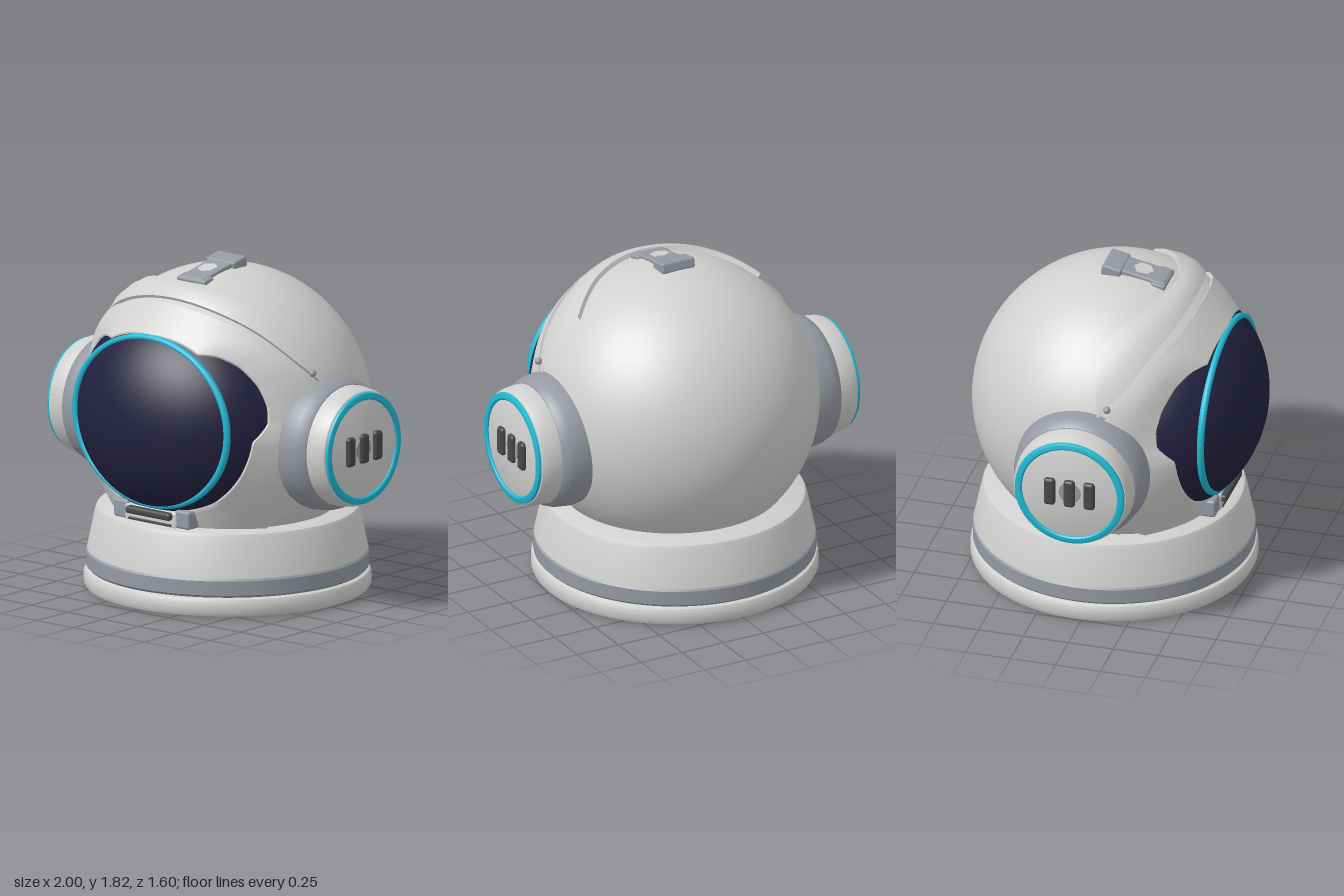
import * as THREE from 'three';
import { toCreasedNormals, mergeVertices } from 'three/addons/utils/BufferGeometryUtils.js';
import { RoundedBoxGeometry } from 'three/addons/geometries/RoundedBoxGeometry.js';

const flat = (name, color, side = THREE.FrontSide) => new THREE.MeshStandardMaterial({ name, color, side });
const white = flat('shell white', 0xd0d0ce, THREE.DoubleSide);
const grey = flat('trim grey', 0x9699a3);
const navy = flat('visor navy', 0x22213f);
const cyan = flat('ring cyan', 0x20b8d4);
const dark = flat('vent dark', 0x48484a);

const TAU = Math.PI * 2;
const V = (x, y, z) => new THREE.Vector3(x, y, z);
const CENTRE = V(0, 0.98, 0);

function add(parent, name, geometry, material, x = 0, y = 0, z = 0) {
  const mesh = new THREE.Mesh(geometry, material);
  mesh.name = name;
  mesh.position.set(x, y, z);
  parent.add(mesh);
  return mesh;
}

// Surface through f(u, v); u runs counter-clockwise seen from the front, v runs backwards
function loft(f, nu, nv, crease = 0.7) {
  const pos = [], index = [];
  for (let j = 0; j <= nv; j++)
    for (let i = 0; i <= nu; i++) pos.push(...f(i / nu, j / nv).toArray());
  for (let j = 0; j < nv; j++)
    for (let i = 0; i < nu; i++) {
      const a = j * (nu + 1) + i, b = a + nu + 1;
      index.push(a, b, a + 1, a + 1, b, b + 1);
    }
  const g = new THREE.BufferGeometry();
  g.setAttribute('position', new THREE.Float32BufferAttribute(pos, 3));
  g.setIndex(index);
  return toCreasedNormals(mergeVertices(g), crease);
}

const lathe = (pts, seg = 96) =>
  toCreasedNormals(new THREE.LatheGeometry(pts.map(p => new THREE.Vector2(...p)), seg), 0.6);

// Piecewise table of depth against elevation angle in degrees, mirrored left to right
function depth(table, theta) {
  const a = THREE.MathUtils.radToDeg(Math.asin(THREE.MathUtils.clamp(Math.sin(theta), -1, 1)));
  let i = 0;
  while (i < table.length - 2 && a > table[i + 1][0]) i++;
  const [a0, z0] = table[i], [a1, z1] = table[i + 1];
  return THREE.MathUtils.lerp(z0, z1, (a - a0) / (a1 - a0));
}
const visorEdge = [[-90, 0.6], [-70, 0.58], [-50, 0.53], [-25, 0.5], [-4, 0.48], [5, 0.39], [14, 0.38],
  [25, 0.4], [38, 0.45], [48, 0.51], [56, 0.575], [90, 0.6]];
const frameEdge = [[-90, 0.58], [-60, 0.45], [-45, 0.3], [-30, 0.2], [0, 0.04], [10, 0.05], [20, 0.13],
  [30, 0.23], [40, 0.31], [60, 0.42], [75, 0.46], [90, 0.47]];
const angle = u => u * TAU - Math.PI / 2;

function visorPoint(theta, phi, s = 1) {
  const r = Math.sin(phi) * s;
  return V(0.65 * r * Math.cos(theta), 1.01 + 0.59 * r * Math.sin(theta), 0.3 + 0.5 * Math.cos(phi));
}
const visorPhi = theta => Math.acos((depth(visorEdge, theta) - 0.3) / 0.5);
function spherePoint(theta, phi, r) {
  return V(Math.sin(phi) * Math.cos(theta), Math.sin(phi) * Math.sin(theta), Math.cos(phi))
    .multiplyScalar(r).add(CENTRE);
}
const framePhi = theta => Math.acos(depth(frameEdge, theta) / 0.81);

function addHead(g) {
  // Round shell, open at the face
  add(g, 'helmetShell', loft((u, v) => {
    const t = angle(u), p = framePhi(t) - 0.04;
    return spherePoint(t, p + v * (Math.PI - p), 0.79);
  }, 128, 48), white);

  // Domed visor
  add(g, 'visor', loft((u, v) => visorPoint(angle(u), v * visorPhi(angle(u))), 192, 32), navy);

  // Face frame between visor and shell, with a raised lip
  const steps = 14;
  add(g, 'faceFrame', loft((u, v) => {
    const t = angle(u), p = visorPhi(t), q = framePhi(t), row = Math.round(v * steps);
    if (row === 0) return visorPoint(t, p, 0.98);
    if (row === steps) return spherePoint(t, q, 0.77);
    const w = (row - 1) / (steps - 2), bulge = 0.03 * Math.sin(Math.PI * w) * Math.cos(t) ** 2;
    return visorPoint(t, p, 1.02).lerp(spherePoint(t, q, 0.81), w)
      .add(V(bulge * Math.cos(t), bulge * Math.sin(t), 0));
  }, 192, steps), white);

  // Elliptical ring around the visor
  const ring = new THREE.TorusGeometry(0.53, 0.02, 12, 128);
  ring.scale(1, 0.865, 1);
  add(g, 'visorRing', ring, cyan, 0, 1.015, 0.6);
}

// Crescent brow flap lying over the shell
function addBrow(g) {
  const arc = half => new THREE.CatmullRomCurve3(
    [...half.slice(1).reverse(), ...half.map((p, i) => (i ? [-p[0], p[1], p[2]] : p))].map(p => V(...p)));
  const front = arc([[0, 1.65, 0.42], [0.25, 1.61, 0.39], [0.47, 1.5, 0.3], [0.65, 1.37, 0.2], [0.77, 1.26, 0.09]]);
  const back = arc([[0, 1.72, 0.31], [0.18, 1.7, 0.27], [0.34, 1.65, 0.19], [0.46, 1.6, 0.1], [0.54, 1.55, 0.03]]);
  const out = (p, r) => p.sub(CENTRE).setLength(r).add(CENTRE);
  const rows = [[0, 0.77], [0, 0.808], [0.35, 0.825], [0.7, 0.825], [1, 0.815], [1, 0.77]];
  add(g, 'browFlap', loft((u, v) => {
    const [w, r] = rows[Math.round(v * 5)];
    return out(front.getPoint(u).lerp(back.getPoint(u), w), r);
  }, 64, 5), white);
  for (const s of [-1, 1])
    add(g, 'browRivet', new THREE.SphereGeometry(0.02, 16, 12), grey, s * 0.74, 1.31, 0.14);
}

// Mount on the crown
function addCrownClip(g) {
  const clip = new THREE.Group();
  clip.name = 'crownClip';
  clip.position.set(0, 1.755, 0.1);
  clip.rotation.x = 0.2;
  add(clip, 'clipPlate', new RoundedBoxGeometry(0.16, 0.05, 0.34, 2, 0.01), grey);
  add(clip, 'clipRear', new RoundedBoxGeometry(0.2, 0.06, 0.11, 2, 0.012), grey, 0, 0, -0.125);
  add(clip, 'clipFront', new RoundedBoxGeometry(0.2, 0.05, 0.08, 2, 0.012), grey, 0, -0.005, 0.14);
  add(clip, 'clipInset', new THREE.CylinderGeometry(0.055, 0.055, 0.008, 6), white, 0, 0.026, 0.03);
  g.add(clip);
}

// Ear pod pointing to +x; turned around for the other side
function addEar(g, side) {
  const ear = new THREE.Group();
  ear.name = side > 0 ? 'leftEarPod' : 'rightEarPod';
  ear.position.set(0, 0.908, 0);
  ear.rotation.y = side > 0 ? 0 : Math.PI;
  const turned = (name, pts, mat) => { add(ear, name, lathe(pts), mat).rotation.z = -Math.PI / 2; };
  turned('earHousing', [[0, 0.58], [0.33, 0.58], [0.35, 0.665], [0.365, 0.68], [0.37, 0.72], [0.36, 0.8],
    [0.345, 0.84], [0.33, 0.855], [0, 0.856]], grey);
  turned('earCap', [[0, 0.83], [0.325, 0.83], [0.328, 0.88], [0.32, 0.94], [0.31, 0.965], [0.29, 0.975], [0, 0.976]], white);
  turned('earRing', [[0.265, 0.97], [0.305, 0.97], [0.303, 0.983], [0.295, 0.988], [0.272, 0.988], [0.265, 0.982], [0.265, 0.97]], cyan);
  turned('earHub', [[0, 0.972], [0.062, 0.972], [0.06, 0.98], [0, 0.981]], grey);
  for (const z of [-0.11, 0, 0.11])
    add(ear, 'earVent', new RoundedBoxGeometry(0.04, 0.16, 0.062, 4, 0.018), dark, 0.98, 0, z);
  g.add(ear);
}

// Stacked neck collar
function addCollar(g) {
  const layers = {
    collarBase: [white, [[0, 0], [0.74, 0], [0.76, 0.01], [0.77, 0.03], [0.77, 0.08], [0.76, 0.1], [0.74, 0.11], [0, 0.111]]],
    collarBand: [grey, [[0, 0.105], [0.74, 0.105], [0.757, 0.122], [0.757, 0.2], [0.745, 0.215], [0, 0.216]]],
    collarTop: [white, [[0, 0.21], [0.752, 0.212], [0.708, 0.425], [0.698, 0.445], [0.675, 0.455], [0, 0.456]]],
  };
  for (const [name, [mat, pts]] of Object.entries(layers)) add(g, name, lathe(pts, 128), mat, 0, 0, -0.03);
}

// Latch below the visor
function addLatch(g) {
  add(g, 'latchBase', new RoundedBoxGeometry(0.36, 0.09, 0.1, 2, 0.012), white, 0, 0.495, 0.56);
  for (const s of [-1, 1])
    add(g, 'latchWing', new RoundedBoxGeometry(0.1, 0.1, 0.1, 2, 0.015), grey, s * 0.215, 0.505, 0.555);
  add(g, 'latchBar', new RoundedBoxGeometry(0.31, 0.042, 0.05, 4, 0.016), dark, 0, 0.515, 0.615);
  add(g, 'latchSlot', new RoundedBoxGeometry(0.3, 0.014, 0.02, 2, 0.005), dark, 0, 0.466, 0.608);
}

export function createModel() {
  const model = new THREE.Group();
  model.name = 'spaceHelmet';
  addHead(model);
  addBrow(model);
  addCrownClip(model);
  addEar(model, 1);
  addEar(model, -1);
  addCollar(model);
  addLatch(model);
  return model;
}
